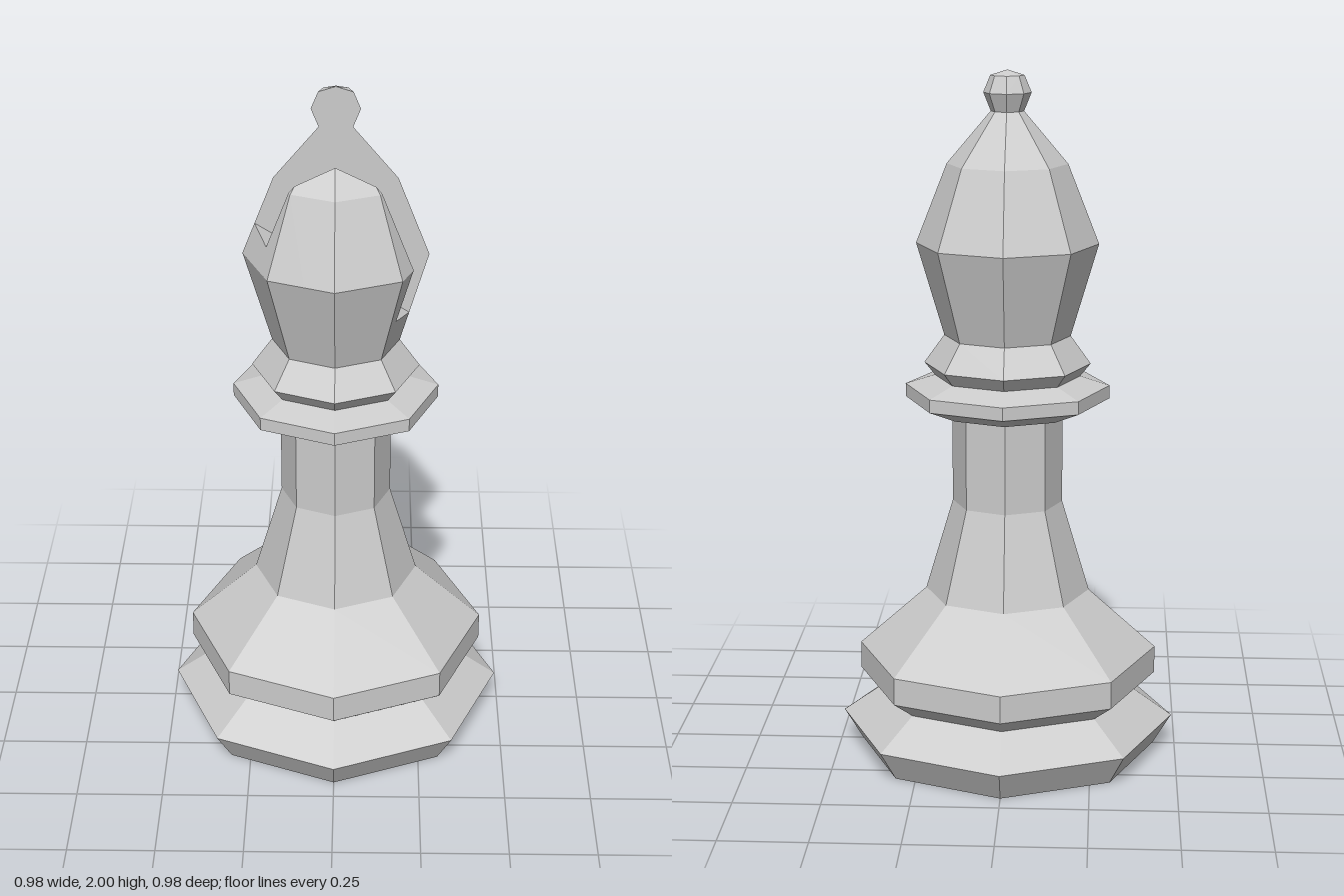
import * as THREE from 'three';

const SIDES = 8;
const EPS = 1e-6;
const V = (x, y, z) => new THREE.Vector3(x, y, z);

// Cut a convex polygon, keeping n.p <= d; points on the plane go to cut
function clipPolygon(points, n, d, cut = []) {
  const out = [];
  points.forEach((a, i) => {
    const b = points[(i + 1) % points.length];
    const da = n.dot(a) - d, db = n.dot(b) - d;
    if (da <= EPS) out.push(a);
    if (Math.abs(da) <= EPS) cut.push(a);
    if ((da > EPS && db < -EPS) || (da < -EPS && db > EPS)) {
      const p = a.clone().lerp(b, da / (da - db));
      out.push(p);
      cut.push(p);
    }
  });
  return out;
}

// Cut a convex solid (list of { points, hidden }) and close it with a cap
function clipSolid(solid, n, d, hideCap = false) {
  const cut = [];
  const faces = solid
    .map((f) => ({ points: clipPolygon(f.points, n, d, cut), hidden: f.hidden }))
    .filter((f) => f.points.length > 2);
  const cap = { points: [], hidden: hideCap };
  if (faces.length && cut.length > 2) {
    const mid = cut.reduce((s, p) => s.add(p), V(0, 0, 0)).divideScalar(cut.length);
    const u = V(n.y, -n.x, 0);
    if (u.lengthSq() < EPS) u.set(1, 0, 0);
    u.normalize();
    const w = n.clone().cross(u);
    const angle = (p) => Math.atan2(p.clone().sub(mid).dot(w), p.clone().sub(mid).dot(u));
    cap.points = cut.sort((a, b) => angle(a) - angle(b));
    faces.push(cap);
  }
  return { faces, cap };
}

const ring = (r, y) => Array.from({ length: SIDES }, (_, i) => {
  const a = (i / SIDES) * Math.PI * 2;
  return V(r * Math.sin(a), y, r * Math.cos(a));
});

// One eight-sided layer of the head, with hidden lids
function layer([r0, y0], [r1, y1]) {
  const low = ring(r0, y0), high = ring(r1, y1);
  const sides = low.map((p, i) => {
    const j = (i + 1) % SIDES;
    return { points: [p, low[j], high[j], high[i]], hidden: false };
  });
  return [...sides, { points: low.slice().reverse(), hidden: true }, { points: high, hidden: true }];
}

function toGeometry(polygons) {
  const pos = [], ab = V(), ac = V();
  for (const p of polygons) {
    for (let i = 1; i < p.length - 1; i++) {
      ab.subVectors(p[i], p[0]);
      ac.subVectors(p[i + 1], p[0]);
      if (ab.cross(ac).length() < 1e-9) continue;
      for (const q of [p[0], p[i], p[i + 1]]) pos.push(q.x, q.y, q.z);
    }
  }
  const geo = new THREE.BufferGeometry();
  geo.setAttribute('position', new THREE.Float32BufferAttribute(pos, 3));
  geo.computeVertexNormals();
  return geo;
}

export function createModel() {
  const group = new THREE.Group();
  group.name = 'bishop';
  const material = new THREE.MeshStandardMaterial({ color: 0xcccccc, flatShading: true });
  const add = (name, geometry) => {
    const mesh = new THREE.Mesh(geometry, material);
    mesh.name = name;
    group.add(mesh);
  };
  const lathe = (profile) =>
    new THREE.LatheGeometry(profile.map(([r, y]) => new THREE.Vector2(r, y)), SIDES);

  // Turned lower parts, bottom to top
  add('base', lathe([[0, 0], [0.435, 0], [0.49, 0.09], [0.37, 0.175], [0.437, 0.225], [0.437, 0.305], [0.24, 0.48]]));
  add('stem', lathe([[0.24, 0.48], [0.16, 0.75], [0.16, 1.02]]));
  add('collar', lathe([[0.16, 1.02], [0.2, 1.02], [0.295, 1.06], [0.295, 1.098], [0.21, 1.125], [0.24, 1.162], [0.182, 1.243]]));

  // Head with a slot between z = 0 and z = 0.11, its floor sloping down to +x
  const profile = [[0.182, 1.243], [0.261, 1.51], [0.172, 1.737], [0.047, 1.885], [0.068, 1.937], [0.048, 1.985], [0, 2]];
  const floor = V(0.626, 1, 0), floorAt = 1.459, slot = 0.11;
  const front = V(0, 0, 1), back = V(0, 0, -1);
  const skin = [];
  const keep = (faces) => faces.forEach((f) => f.hidden || skin.push(f.points));

  for (let i = 0; i < profile.length - 1; i++) {
    const solid = layer(profile[i], profile[i + 1]);
    // below the slot floor
    const below = clipSolid(solid, floor, floorAt, true);
    keep(below.faces);
    skin.push(clipPolygon(clipPolygon(below.cap.points, front, slot), back, 0));
    // rear and front halves above it
    const above = clipSolid(solid, floor.clone().negate(), -floorAt, true).faces;
    keep(clipSolid(above, front, 0).faces);
    keep(clipSolid(above, back, -slot).faces);
  }
  add('slottedHead', toGeometry(skin));
  return group;
}
